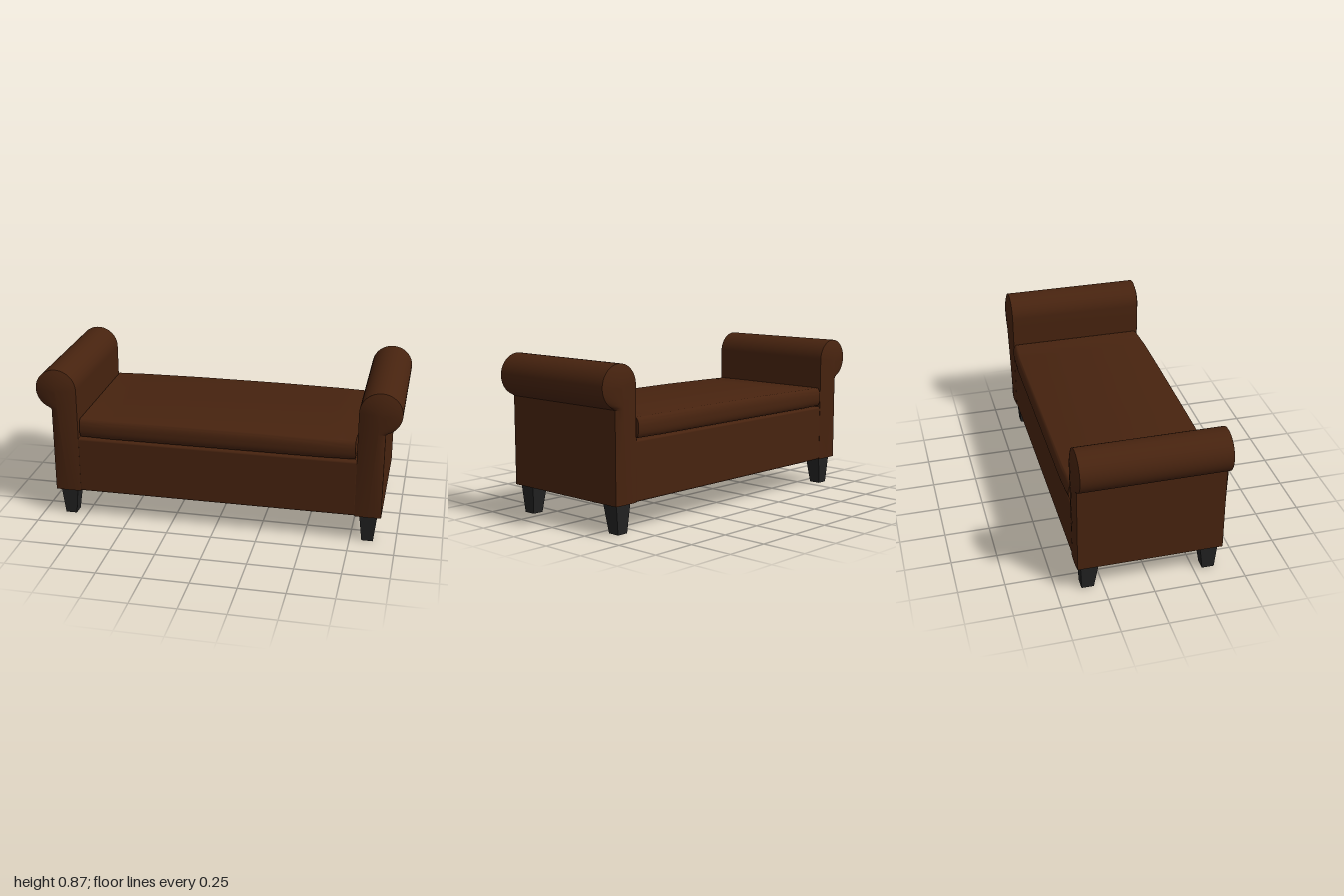
import * as THREE from 'three';
import { toCreasedNormals } from 'three/addons/utils/BufferGeometryUtils.js';
import { RoundedBoxGeometry } from 'three/addons/geometries/RoundedBoxGeometry.js';

// Skins a list of equally sized closed rings of [x, y, z] points
function loft(rings, crease) {
  const n = rings[0].length, index = [];
  for (let i = 0; i < rings.length - 1; i++) {
    for (let j = 0; j < n; j++) {
      const a = i * n + j, b = i * n + (j + 1) % n;
      index.push(a, b, b + n, a, b + n, a + n);
    }
  }
  const g = new THREE.BufferGeometry();
  g.setAttribute('position', new THREE.Float32BufferAttribute(rings.flat(2), 3));
  g.setIndex(index);
  return toCreasedNormals(g, crease);
}

const BASE_Y = 0.157, ROLL_X = 0.886, ROLL_Y = 0.758, ROLL_R = 0.114;

// Scroll arm: straight panel with a round roll on top and softly padded ends
function armGeometry() {
  const outline = [];
  for (let i = 0; i <= 8; i++) outline.push([0.772 + 0.144 * i / 8, BASE_Y]);
  for (let i = 1; i <= 8; i++) outline.push([0.916, BASE_Y + (0.643 - BASE_Y) * i / 8]);
  const start = -1.2;
  for (let i = 0; i <= 40; i++) {
    const t = start + (Math.PI - start) * i / 40;
    outline.push([ROLL_X + ROLL_R * Math.cos(t), ROLL_Y + ROLL_R * Math.sin(t)]);
  }
  for (let i = 1; i < 8; i++) outline.push([0.772, ROLL_Y + (BASE_Y - ROLL_Y) * i / 8]);

  // Each end ring shrinks towards a spine line and bulges outwards
  const ring = (t, side) => outline.map(([x, y]) => {
    const k = Math.min(1, Math.max(0, (y - BASE_Y) / (ROLL_Y - BASE_Y)));
    const sx = 0.844 + (ROLL_X - 0.844) * k, sy = BASE_Y + (ROLL_Y - BASE_Y) * k;
    const bulge = (0.004 + 0.018 * k) * (1 - (1 - t) ** 2);
    return [x + (sx - x) * t, y + (sy - y) * t, side * (0.393 + bulge)];
  });
  const steps = [0, 0.1, 0.25, 0.45, 0.7, 1];
  return loft([...steps.slice().reverse().map(t => ring(t, -1)), ...steps.map(t => ring(t, 1))], 0.35);
}

// Padded lid: rounded front and back edges, slightly crowned towards the middle
function lidGeometry() {
  const corner = [];
  for (let q = 0; q < 4; q++) {
    for (let i = 0; i <= 8; i++) {
      const t = (q + i / 8) * Math.PI / 2;
      const sy = q === 0 || q === 3 ? 1 : -1, sz = q < 2 ? 1 : -1;
      corner.push([sy * 0.004 + 0.05 * Math.cos(t), sz * 0.372 + 0.025 * Math.sin(t), sy]);
    }
  }
  const ring = (x, s = 1) => {
    const crown = 1 - Math.max(0, Math.abs(x) - 0.25) / 0.51;
    const push = Math.min(1, (0.762 - Math.abs(x)) / 0.17);
    return corner.map(([y, z, sy]) => [
      x,
      0.537 + s * (y + (sy > 0 ? 0.006 * crown : 0)),
      -0.004 + s * z * (1 + 0.022 * push),
    ]);
  };
  const xs = [-0.762, -0.68, -0.59, -0.25, 0.25, 0.59, 0.68, 0.762];
  return loft([ring(-0.762, 0), ...xs.map(x => ring(x)), ring(0.762, 0)], 0.7);
}

// Square leg tapering to the floor, centred on its own x and z
function legGeometry() {
  const g = new THREE.BoxGeometry(0.098, 0.16, 0.098);
  const p = g.attributes.position;
  for (let i = 0; i < p.count; i++) {
    if (p.getY(i) < 0) {
      p.setX(i, p.getX(i) * 0.64);
      p.setZ(i, p.getZ(i) * 0.68 + 0.008);
    }
  }
  g.computeVertexNormals();
  return g;
}

export function createModel() {
  const model = new THREE.Group();
  model.name = 'storageBench';
  const leather = new THREE.MeshStandardMaterial({ color: 0x47230f });
  leather.name = 'brownLeather';
  const legPaint = new THREE.MeshStandardMaterial({ color: 0x222222 });
  legPaint.name = 'blackWood';

  const add = (name, geometry, material) => {
    const mesh = new THREE.Mesh(geometry, material);
    mesh.name = name;
    model.add(mesh);
    return mesh;
  };

  // Storage box between the arms
  add('storageBox', new RoundedBoxGeometry(1.56, 0.32, 0.786, 3, 0.012), leather)
    .position.set(0, BASE_Y + 0.16, 0);
  add('seatLid', lidGeometry(), leather);

  // Arms, the right one turned half round
  const arm = armGeometry();
  add('leftArm', arm, leather);
  add('rightArm', arm, leather).rotation.y = Math.PI;

  // Four legs, outer faces steeper than inner ones
  const leg = legGeometry();
  for (const [side, x] of [['left', 0.846], ['right', -0.846]]) {
    for (const [end, z] of [['Front', 0.324], ['Back', -0.324]]) {
      const mesh = add(side + end + 'Leg', leg, legPaint);
      mesh.position.set(x, 0.08, z);
      if (z < 0) mesh.rotation.y = Math.PI;
    }
  }
  return model;
}
